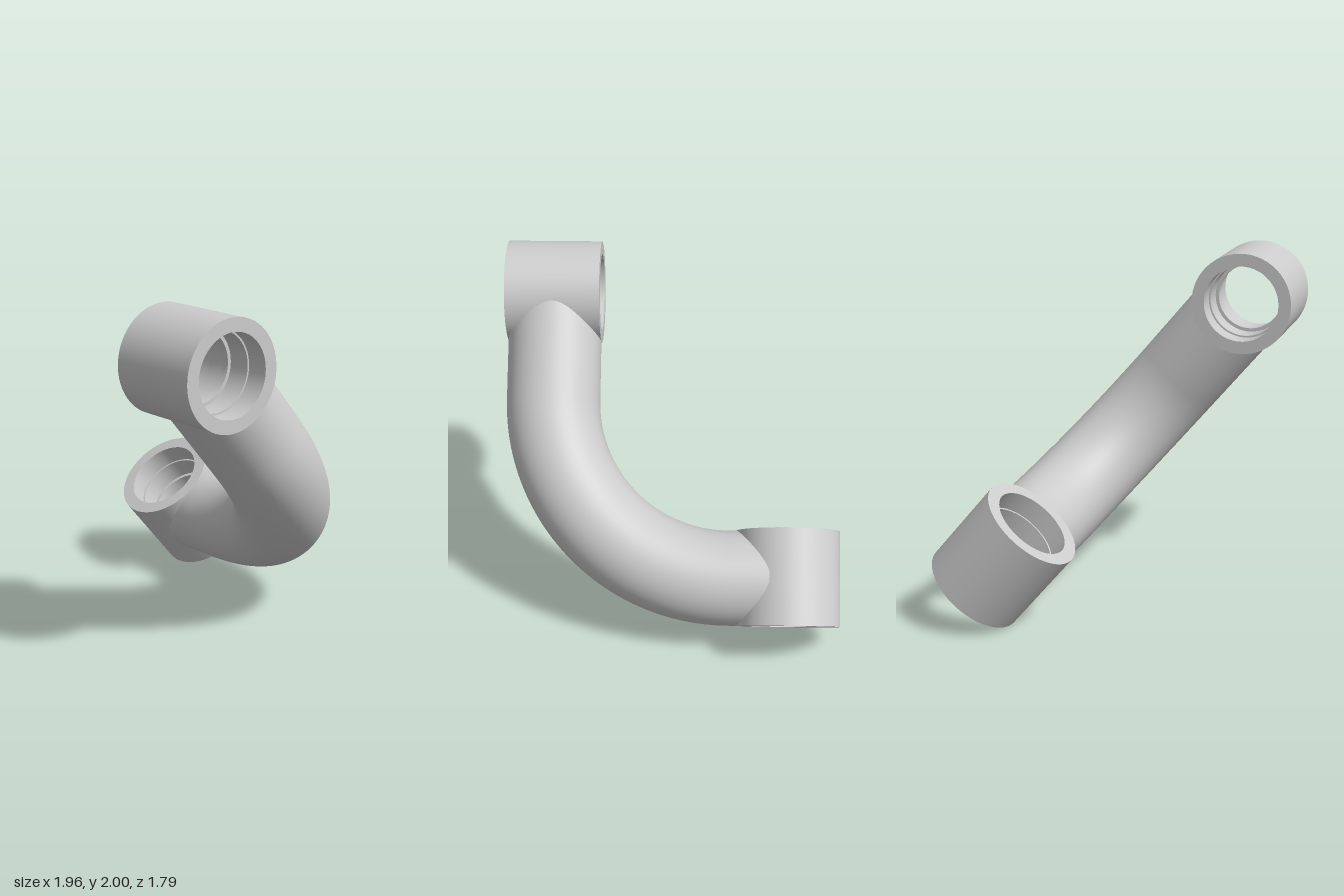
import * as THREE from 'three';
import { toCreasedNormals } from 'three/addons/utils/BufferGeometryUtils.js';

const TUBE_R = 0.275;              // arm radius, also half the length of each collar
const LOW_X = -0.68;               // lower collar centre (in the arm's own plane)
const TOP_X = 0.705, TOP_Y = 1.692; // upper collar centre
const BEND = 1.035;                // bend radius of the arm

// Centre line: straight, quarter bend, straight
class ArmCurve extends THREE.Curve {
  getPoint(t, target = new THREE.Vector3()) {
    const first = TOP_X - BEND - LOW_X;
    const arc = BEND * Math.PI / 2;
    const s = t * (first + arc + TOP_Y - BEND);
    if (s < first) return target.set(LOW_X + s, 0, 0);
    if (s > first + arc) return target.set(TOP_X, BEND + s - first - arc, 0);
    const a = (s - first) / BEND;
    return target.set(TOP_X - BEND + BEND * Math.sin(a), BEND - BEND * Math.cos(a), 0);
  }
}

// Bent arm, its ends cut to saddles that stop inside the collar walls
function armGeometry() {
  const geo = new THREE.TubeGeometry(new ArmCurve(), 80, TUBE_R, 56);
  const p = geo.attributes.position;
  for (let i = 0; i < p.count; i++) {
    const z = p.getZ(i);
    const cut = Math.sqrt(Math.max(0, 0.26 ** 2 - z * z));
    p.setX(i, Math.max(p.getX(i), LOW_X + cut));
    p.setY(i, Math.min(p.getY(i), TOP_Y - cut));
  }
  return geo;
}

// Collar with a stepped bore and a narrow rib at mid-length
function collarGeometry() {
  const h = TUBE_R;
  const profile = [
    [0.3, -h], [0.3, h], [0.225, h], [0.225, 0.15], [0.215, 0.15], [0.215, 0.02], [0.195, 0.02],
    [0.195, -0.02], [0.215, -0.02], [0.215, -0.15], [0.225, -0.15], [0.225, -h], [0.3, -h],
  ].map(([r, y]) => new THREE.Vector2(r, y));
  return toCreasedNormals(new THREE.LatheGeometry(profile, 64), 0.6);
}

export function createModel() {
  const model = new THREE.Group();
  model.name = 'bentLink';
  const material = new THREE.MeshStandardMaterial({ color: 0xcccccc });
  const add = (name, geometry) => {
    const mesh = new THREE.Mesh(geometry, material);
    mesh.name = name;
    link.add(mesh);
    return mesh;
  };

  // Everything lies in one plane, leaning forward
  const link = new THREE.Group();
  link.name = 'link';
  link.rotation.x = THREE.MathUtils.degToRad(40);
  link.position.set(0, 0.404, -0.49);
  model.add(link);

  add('arm', armGeometry());
  const collar = collarGeometry();
  add('lowerCollar', collar).position.set(LOW_X, 0, 0);
  const upper = add('upperCollar', collar);
  upper.position.set(TOP_X, TOP_Y, 0);
  upper.rotation.z = Math.PI / 2;
  return model;
}
